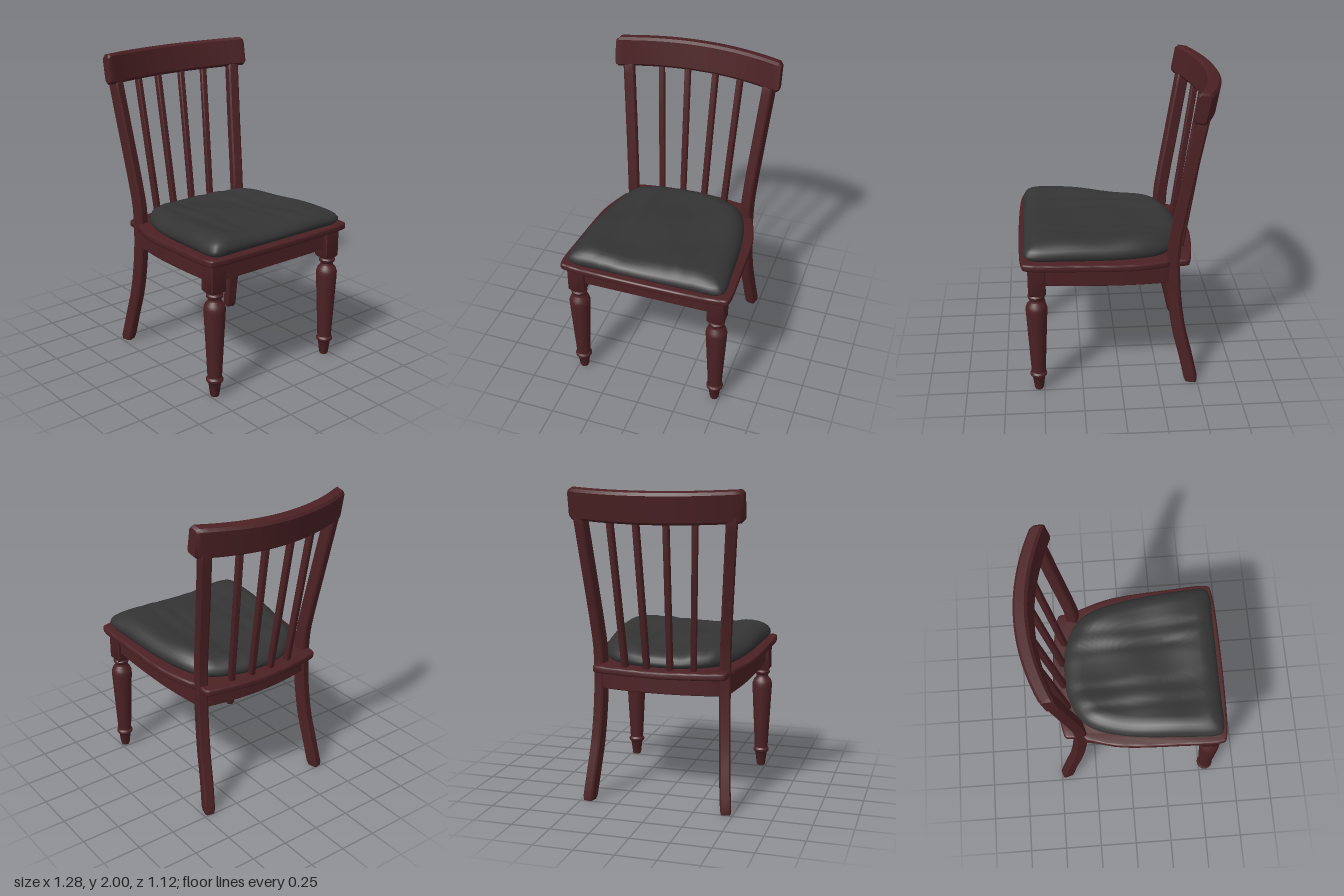
import * as THREE from 'three';
import { toCreasedNormals } from 'three/addons/utils/BufferGeometryUtils.js';

const V = (x, y, z) => new THREE.Vector3(x, y, z);
const SLOPE = 0.058; // the seat rises toward the front (+x)
const seatTop = (x) => 0.904 + SLOPE * x;

// Skin a list of equal-length rings (counter-clockwise about the path) and cap both ends
function loft(rings, crease = 0.6) {
  const pos = [];
  const tri = (...pts) => pts.forEach((p) => pos.push(p.x, p.y, p.z));
  const n = rings[0].length;
  for (let i = 0; i < rings.length - 1; i++) {
    for (let j = 0; j < n; j++) {
      const k = (j + 1) % n;
      const a = rings[i][j], b = rings[i][k], c = rings[i + 1][k], d = rings[i + 1][j];
      tri(a, b, c);
      tri(a, c, d);
    }
  }
  const mid = (r) => r.reduce((s, p) => s.add(p), V(0, 0, 0)).divideScalar(n);
  const first = rings[0], last = rings[rings.length - 1];
  const m0 = mid(first), m1 = mid(last);
  for (let j = 0; j < n; j++) {
    const k = (j + 1) % n;
    tri(m0, first[k], first[j]);
    tri(m1, last[j], last[k]);
  }
  const g = new THREE.BufferGeometry();
  g.setAttribute('position', new THREE.Float32BufferAttribute(pos, 3));
  return toCreasedNormals(g, crease);
}

// Chamfered rectangle around centre c, spanned by u and v
function section(c, u, v, hu, hv, ch) {
  const a = hu - ch, b = hv - ch;
  return [[hu, -b], [hu, b], [a, hv], [-a, hv], [-hu, b], [-hu, -b], [-a, -hv], [a, -hv]]
    .map(([p, q]) => c.clone().addScaledVector(u, p).addScaledVector(v, q));
}

// Swept bar with slightly rounded ends; at(t) gives the centre for t in 0..1
function bar(at, u, v, hu, hv, ch, steps) {
  const rings = [];
  const end = 0.015;
  const add = (t, s) => rings.push(section(at(t), u, v, hu * s, hv * s, ch * s));
  add(0, 0.85);
  for (let i = 0; i <= steps; i++) add(end + (1 - 2 * end) * (i / steps), 1);
  add(1, 0.85);
  return loft(rings);
}

const spline = (pts) => new THREE.CatmullRomCurve3(pts.map((p) => V(...p)));

// Half outline (front to back, [x, z]) as a smooth run of points
const smooth = (pts, n) => new THREE.SplineCurve(pts.map((p) => new THREE.Vector2(p[0], -p[1]))).getPoints(n);
function mirrored(half) {
  const other = half.slice(1, -1).reverse().map((p) => new THREE.Vector2(p.x, -p.y));
  return [...half, ...other];
}

export function createModel() {
  const chair = new THREE.Group();
  chair.name = 'chair';
  const wood = new THREE.MeshStandardMaterial({ color: 0x4b2124 });
  wood.name = 'dark red wood';
  const fabric = new THREE.MeshStandardMaterial({ color: 0x343434 });
  fabric.name = 'charcoal fabric';
  const add = (name, geo, mat = wood) => {
    const m = new THREE.Mesh(geo, mat);
    m.name = name;
    chair.add(m);
    return m;
  };
  const X = V(1, 0, 0), Y = V(0, 1, 0), Z = V(0, 0, 1);

  // Outlines of cushion and seat
  const cushionOutline = mirrored(smooth([[0.605, 0], [0.605, 0.3], [0.605, 0.46], [0.56, 0.515], [0.4, 0.512],
    [0.05, 0.48], [-0.2, 0.42], [-0.33, 0.32], [-0.4, 0.14], [-0.41, 0]], 48));
  const seatOutline = mirrored([
    ...smooth([[0.628, 0], [0.624, 0.3], [0.61, 0.5], [0.57, 0.545], [0.35, 0.54], [-0.05, 0.515], [-0.285, 0.45]], 30),
    ...smooth([[-0.31, 0.42], [-0.4, 0.425], [-0.43, 0.39], [-0.462, 0.2], [-0.478, 0]], 20),
  ]);
  const cx = 0.1;
  const scaled = (p, s) => new THREE.Vector2(cx + (p.x - cx) * s, p.y * s);

  // Seat frame with an opening below the cushion
  const seatShape = new THREE.Shape(seatOutline);
  seatShape.holes.push(new THREE.Path(cushionOutline.map((p) => scaled(p, 0.9))));
  let seat = new THREE.ExtrudeGeometry(seatShape, {
    depth: 0.021, bevelThickness: 0.012, bevelSize: 0.012, bevelSegments: 3,
  });
  seat.rotateX(-Math.PI / 2);
  const sp = seat.attributes.position;
  for (let i = 0; i < sp.count; i++) sp.setY(i, sp.getY(i) - 0.033 + seatTop(sp.getX(i)));
  add('seatFrame', toCreasedNormals(seat, 0.6));

  // Cushion: rings from the underside, around the rim, to the middle of the soft top
  const profile = [[0.05, -0.03], [0.88, -0.03], [0.885, 0], [0.97, 0.003], [1, 0.025], [0.995, 0.045],
    [0.97, 0.068], [0.93, 0.086], [0.88, 0.1]];
  for (let s = 0.82; s > 0.03; s -= 0.06) profile.push([s, 0.112]);
  const dent = (z, at, w) => Math.exp(-(((z - at) / w) ** 2));
  const sag = (x, z) => -0.022 * dent(z, 0, 0.27)
    - 0.008 * (dent(z, -0.13, 0.03) + dent(z, 0.15, 0.035) + dent(z, 0.28, 0.03) + dent(z, -0.25, 0.03))
    + 0.006 * Math.sin(7 * x + 11 * z) + 0.005 * Math.sin(13 * x - 6 * z + 1) + 0.004;
  const rings = profile.map(([s, h]) => cushionOutline.map((p) => {
    const q = scaled(p, s);
    return V(q.x, seatTop(q.x) + h + sag(q.x, q.y) * Math.max(0, h / 0.112), q.y);
  }));
  add('cushion', loft(rings, 1.1), fabric);

  // Turned front leg profile, [radius, height]
  const turned = [[0, 0], [0.026, 0], [0.03, 0.012], [0.04, 0.09], [0.046, 0.098], [0.054, 0.108], [0.054, 0.12],
    [0.045, 0.132], [0.046, 0.145], [0.068, 0.575], [0.068, 0.6], [0.06, 0.625], [0.042, 0.645], [0.04, 0.66],
    [0.051, 0.672], [0.053, 0.685], [0.045, 0.695], [0.046, 0.73]].map((p) => new THREE.Vector2(...p));
  const legGeo = toCreasedNormals(new THREE.LatheGeometry(turned, 24), 0.6);
  const blockGeo = loft([[0.7, 0.047], [0.712, 0.055], [0.9, 0.055]].map(([y, r]) =>
    section(V(0, y, 0), Z, X, r, r, 0.006)));

  for (const side of [1, -1]) {
    const label = side > 0 ? 'left' : 'right';
    // Front leg and its square top
    add(label + 'FrontLeg', legGeo).position.set(0.535, 0, side * 0.466);
    add(label + 'FrontLegBlock', blockGeo).position.set(0.528, 0, side * 0.466);

    // Back leg and back post in one sweep, turned to follow the curve of the back
    const a = side * 0.26;
    const post = spline([[-0.464, 0, 0.45], [-0.42, 0.2, 0.432], [-0.372, 0.4, 0.418], [-0.337, 0.7, 0.408],
      [-0.337, 0.98, 0.41], [-0.357, 1.12, 0.418], [-0.415, 1.45, 0.444], [-0.483, 1.84, 0.476]]
      .map(([x, y, z]) => [x, y, z * side]));
    add(label + 'BackLegAndPost', bar((t) => post.getPointAt(t),
      V(Math.sin(a), 0, Math.cos(a)), V(Math.cos(a), 0, -Math.sin(a)), 0.035, 0.04, 0.01, 28));

    // Side apron
    const rail = spline([[-0.34, 0.782, 0.405], [-0.05, 0.798, 0.452], [0.25, 0.814, 0.472], [0.52, 0.829, 0.476]]
      .map(([x, y, z]) => [x, y, z * side]));
    add(label + 'SideApron', bar((t) => rail.getPointAt(t), Y, Z, 0.062, 0.024, 0.004, 12));

    // Back spindles
    [[0.075, 0.095, 0], [0.222, 0.268, 0.024]].forEach(([z0, z1, dx], i) => {
      const lo = V(-0.412 + dx * 0.6, 0.86, side * z0), hi = V(-0.562 + dx, 1.84, side * z1);
      const b = side * (0.07 + 0.12 * i);
      add(label + 'Spindle' + (i + 1), bar((t) => lo.clone().lerp(hi, t),
        V(Math.sin(b), 0, Math.cos(b)), V(Math.cos(b), 0, -Math.sin(b)), 0.019, 0.021, 0.006, 2));
    });
  }

  // Front apron
  const front = new THREE.BoxGeometry(0.05, 0.13, 0.86);
  add('frontApron', front).position.set(0.532, 0.833, 0);

  // Curved back apron
  add('backApron', bar((t) => {
    const z = (t - 0.5) * 0.78;
    return V(-0.39 + 0.045 * (z / 0.39) ** 2, 0.782, z);
  }, X, Y, 0.022, 0.062, 0.004, 16));

  // Curved, leaning crest rail
  add('crestRail', bar((t) => {
    const z = (t - 0.5) * 1.092;
    const k = (z / 0.53) ** 2;
    return V(-0.586 + 0.118 * k, 1.887 + 0.012 * k, z);
  }, V(0.985, 0.17, 0), V(-0.17, 0.985, 0), 0.043, 0.096, 0.016, 24));

  return chair;
}
